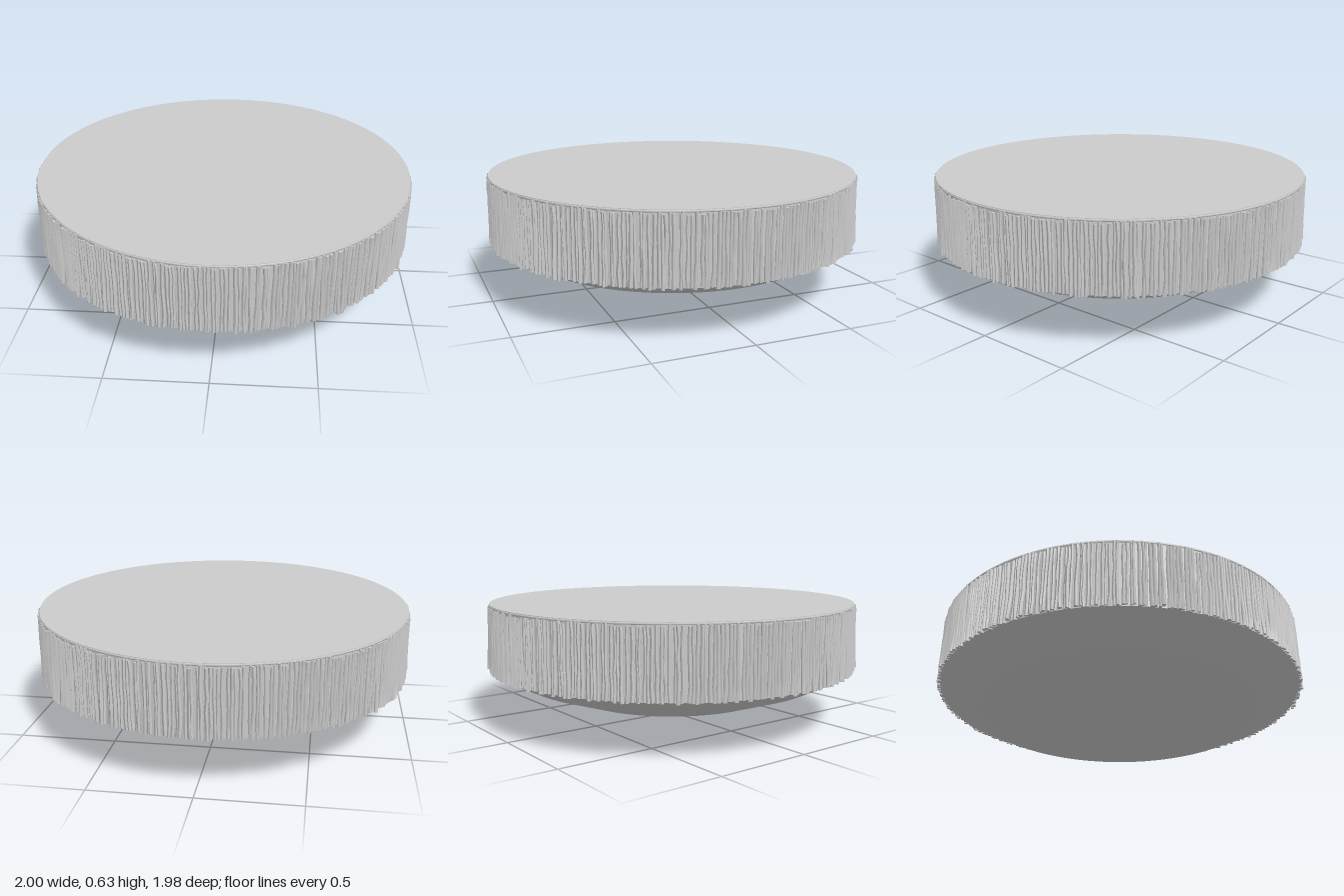
import * as THREE from 'three';
import { mergeGeometries } from 'three/addons/utils/BufferGeometryUtils.js';

const RIM = 0.975, TOP = 0.635, BASE = 0.285;

// Small seeded generator so the fringe is the same every time
function seeded(seed) {
  return () => {
    seed = (seed * 1664525 + 1013904223) % 4294967296;
    return seed / 4294967296;
  };
}

// One slightly crooked hanging cord, leaning outwards towards its lower end
function cord(angle, rand) {
  const high = 0.61 + rand() * 0.018;
  const low = 0.278 + rand() * 0.014;
  const r = 0.008 + rand() * 0.004;
  const lean = rand() < 0.08 ? 0.014 : rand() * 0.006;
  const steps = 5;
  const g = new THREE.CylinderGeometry(r * 0.85, r, high - low, 6, steps);
  g.translate(0, (high + low) / 2, 0);

  // Offset every ring of the cord a little along and out from the rim
  const shifts = Array.from({ length: steps + 1 }, () => [
    (rand() - 0.5) * 0.007, (rand() - 0.5) * 0.004,
  ]);
  const p = g.attributes.position;
  for (let i = 0; i < p.count; i++) {
    const t = (high - p.getY(i)) / (high - low);
    const [side, out] = shifts[Math.round(t * steps)];
    p.setX(i, p.getX(i) + side);
    p.setZ(i, p.getZ(i) + out + lean * t * t + RIM);
  }
  g.computeVertexNormals();
  return g.rotateY(angle);
}

export function createModel() {
  const model = new THREE.Group();
  model.name = 'fringedDisc';
  const grey = new THREE.MeshStandardMaterial({ color: 0xcccccc });
  grey.name = 'light grey';

  const add = (name, geometry) => {
    const mesh = new THREE.Mesh(geometry, grey);
    mesh.name = name;
    model.add(mesh);
  };

  // Flat top
  add('topFace', new THREE.CircleGeometry(RIM, 96).rotateX(-Math.PI / 2).translate(0, TOP, 0));

  // Straight wall behind the fringe
  add('sideWall', new THREE.CylinderGeometry(RIM, RIM, TOP - BASE, 96, 1, true)
    .translate(0, (TOP + BASE) / 2, 0));

  // Thin lip just below the top edge
  add('topLip', new THREE.TorusGeometry(RIM - 0.002, 0.006, 6, 96)
    .rotateX(Math.PI / 2).translate(0, TOP - 0.008, 0));

  // Shallow dome underneath
  const profile = [[0, 0], [0.24, 0.04], [0.53, 0.11], [0.8, 0.2], [RIM, BASE]];
  add('underside', new THREE.LatheGeometry(
    profile.map(([x, y]) => new THREE.Vector2(x, y)), 96));

  // Fringe of cords around the wall
  const rand = seeded(17);
  const count = 330;
  const cords = [];
  for (let i = 0; i < count; i++) {
    cords.push(cord(((i + (rand() - 0.5) * 0.7) / count) * Math.PI * 2, rand));
  }
  add('fringe', mergeGeometries(cords));

  return model;
}
